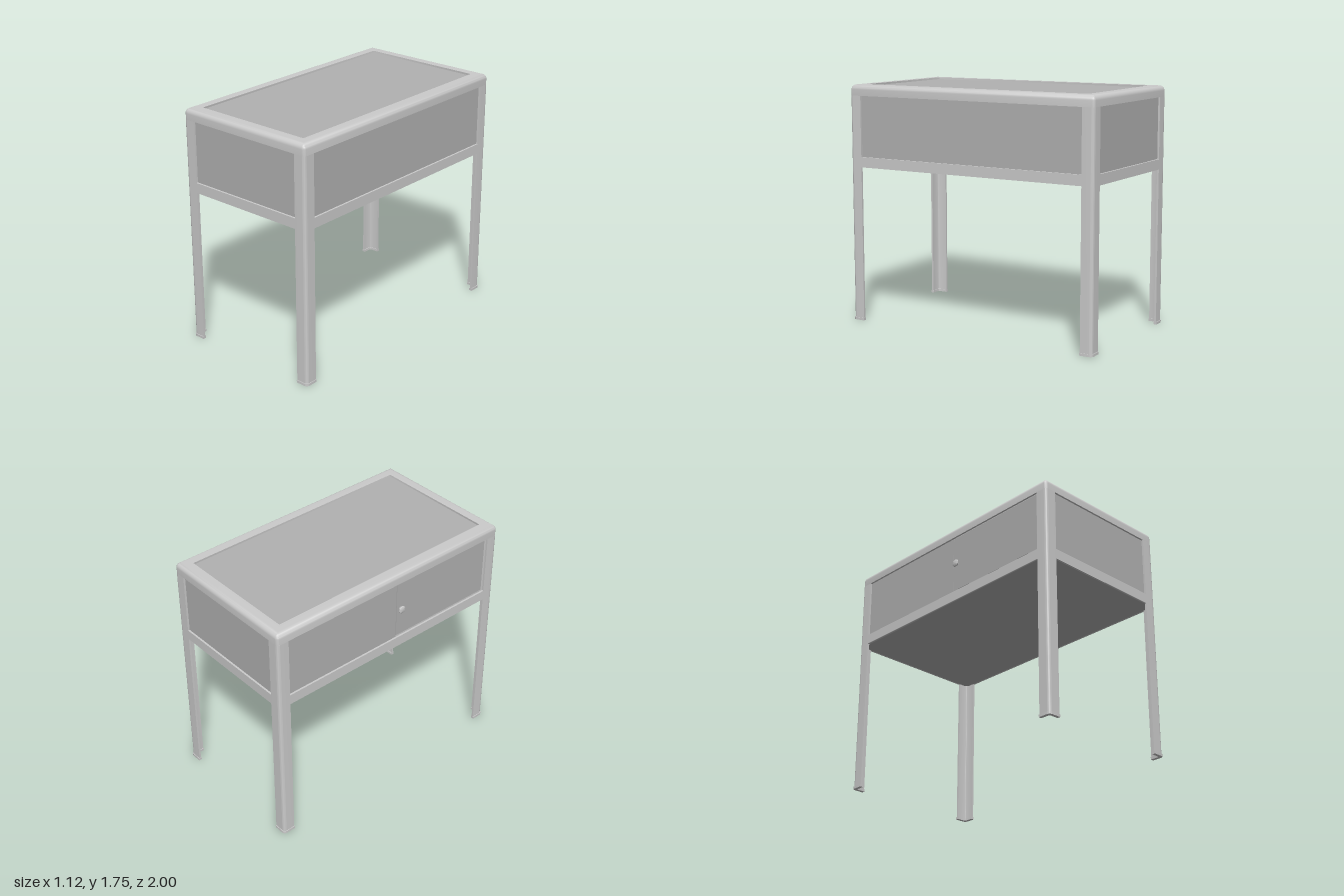
import * as THREE from 'three';
import { toCreasedNormals } from 'three/addons/utils/BufferGeometryUtils.js';

const HX = 0.552, HZ = 0.995; // half width and half depth of the frame
const TOP = 1.745, RIM = 1.665, RAIL = 1.22, BASE = 1.145, W = 0.09, T = 0.014;

export function createModel() {
  const frame = new THREE.MeshStandardMaterial({ color: 0xcbcbcb });
  frame.name = 'light grey frame';
  const sheet = new THREE.MeshStandardMaterial({ color: 0xb1b1b1 });
  sheet.name = 'grey sheet';

  const model = new THREE.Group();
  model.name = 'cabinetTable';
  const body = new THREE.Group();
  body.name = 'body';
  body.position.x = 0.003;
  model.add(body);

  const add = (name, geometry, material, x = 0, y = 0, z = 0) => {
    const mesh = new THREE.Mesh(geometry, material);
    mesh.name = name;
    mesh.position.set(x, y, z);
    body.add(mesh);
    return mesh;
  };
  const box = (name, w, h, d, material, x, y, z) =>
    add(name, new THREE.BoxGeometry(w, h, d), material, x, y, z);

  // Angle-section bar standing upright, outer corner at the origin
  const angleBar = (w, t, r, height) => {
    const s = new THREE.Shape();
    s.moveTo(r, 0);
    s.lineTo(w, 0);
    s.lineTo(w, t);
    s.lineTo(t + 0.016, t);
    s.quadraticCurveTo(t, t, t, t + 0.016);
    s.lineTo(t, w);
    s.lineTo(0, w);
    s.lineTo(0, r);
    s.absarc(r, r, r, Math.PI, Math.PI * 1.5, false);
    const g = new THREE.ExtrudeGeometry(s, { depth: height, bevelEnabled: false, curveSegments: 8 });
    g.rotateX(-Math.PI / 2);
    return toCreasedNormals(g, 0.6);
  };

  // Four legs with slightly wider foot caps
  const legGeometry = angleBar(W, T, 0.022, RIM - 0.004);
  const footGeometry = angleBar(W + 0.006, T + 0.01, 0.026, 0.018);
  [[-1, 1], [1, 1], [1, -1], [-1, -1]].forEach(([sx, sz], i) => {
    const leg = add('leg', legGeometry, frame, sx * HX, 0.004, sz * HZ);
    leg.rotation.y = i * Math.PI / 2;
    const foot = add('foot', footGeometry, frame, sx * (HX + 0.005), 0, sz * (HZ + 0.005));
    foot.rotation.y = i * Math.PI / 2;
  });

  // Rounded top rim: a section carried around a rounded rectangle
  const section = [[T, RIM], [0, RIM]];
  const R = 0.036;
  for (let i = 0; i <= 8; i++) {
    const a = i / 8 * Math.PI / 2;
    section.push([R * (1 - Math.cos(a)), TOP - R + R * Math.sin(a)]);
  }
  section.push([W, TOP], [W, TOP - T], [T, TOP - T], [T, RIM]);
  const positions = [], index = [], arc = 6, ring = 4 * (arc + 1);
  section.forEach(([inset, y], j) => {
    const r = Math.max(0.024 - inset, 0.0005);
    for (let c = 0; c < 4; c++) {
      const sx = c === 0 || c === 3 ? 1 : -1, sz = c < 2 ? 1 : -1;
      for (let k = 0; k <= arc; k++) {
        const a = (c + k / arc) * Math.PI / 2;
        positions.push(sx * (HX - inset - r) + r * Math.cos(a), y, sz * (HZ - inset - r) + r * Math.sin(a));
      }
    }
    if (j === 0) return;
    for (let k = 0; k < ring; k++) {
      const n = (k + 1) % ring, a = (j - 1) * ring, b = j * ring;
      index.push(a + k, b + k, b + n, a + k, b + n, a + n);
    }
  });
  const rim = new THREE.BufferGeometry();
  rim.setAttribute('position', new THREE.Float32BufferAttribute(positions, 3));
  rim.setIndex(index);
  add('topRim', toCreasedNormals(rim, 0.6), frame);
  box('topPanel', 2 * (HX - W) + 0.04, 0.01, 2 * (HZ - W) + 0.04, sheet, 0, TOP - T - 0.006, 0);

  // Lower rails and recessed wall panels
  const railH = RAIL - BASE, railY = (RAIL + BASE) / 2;
  const wallH = RIM - RAIL + 0.04, wallY = (RIM + RAIL) / 2;
  const spanX = 2 * (HX - W), spanZ = 2 * (HZ - W);
  for (const s of [1, -1]) {
    box('endRail', spanX, railH, T, frame, 0, railY, s * (HZ - T / 2));
    box('sideRail', T, railH, spanZ, frame, s * (HX - T / 2), railY, 0);
    box('endPanel', spanX + 0.04, wallH, 0.008, sheet, 0, wallY, s * (HZ - T - 0.005));
  }
  const wallX = HX - T - 0.005;
  box('rightPanel', 0.008, wallH, spanZ + 0.04, sheet, wallX, wallY, 0);

  // Door side: fixed panel, jamb behind the gap, and the door
  const split = 0.045, far = HZ - W;
  box('fixedPanel', 0.008, wallH, split + far + 0.02, sheet, -wallX, wallY, (split - far - 0.02) / 2);
  box('doorJamb', 0.006, wallH, far - split + 0.02, frame, -wallX + 0.005, wallY, (split + far + 0.02) / 2);
  const z0 = split + 0.004, z1 = far - 0.016, y0 = RAIL + 0.012, y1 = RIM - 0.004;
  box('door', 0.012, y1 - y0, z1 - z0, sheet, -wallX + 0.001, (y0 + y1) / 2, (z0 + z1) / 2);

  // Round door knob
  const knob = new THREE.LatheGeometry([
    [0.014, 0], [0.014, 0.01], [0.024, 0.012], [0.028, 0.016], [0.027, 0.022], [0.02, 0.026], [0, 0.027],
  ].map(([x, y]) => new THREE.Vector2(x, y)), 24);
  knob.rotateZ(Math.PI / 2);
  add('doorKnob', toCreasedNormals(knob, 0.7), frame, -wallX - 0.004, 1.443, 0.085);

  // Floor sheet with rounded corners
  const fx = HX - T, fz = HZ - T, fr = 0.03, floor = new THREE.Shape();
  floor.absarc(fx - fr, fz - fr, fr, 0, Math.PI / 2);
  floor.absarc(-fx + fr, fz - fr, fr, Math.PI / 2, Math.PI);
  floor.absarc(-fx + fr, -fz + fr, fr, Math.PI, Math.PI * 1.5);
  floor.absarc(fx - fr, -fz + fr, fr, Math.PI * 1.5, Math.PI * 2);
  const floorGeometry = new THREE.ExtrudeGeometry(floor, { depth: 0.012, bevelEnabled: false });
  floorGeometry.rotateX(-Math.PI / 2);
  add('floor', floorGeometry, sheet, 0, BASE, 0);

  return model;
}
